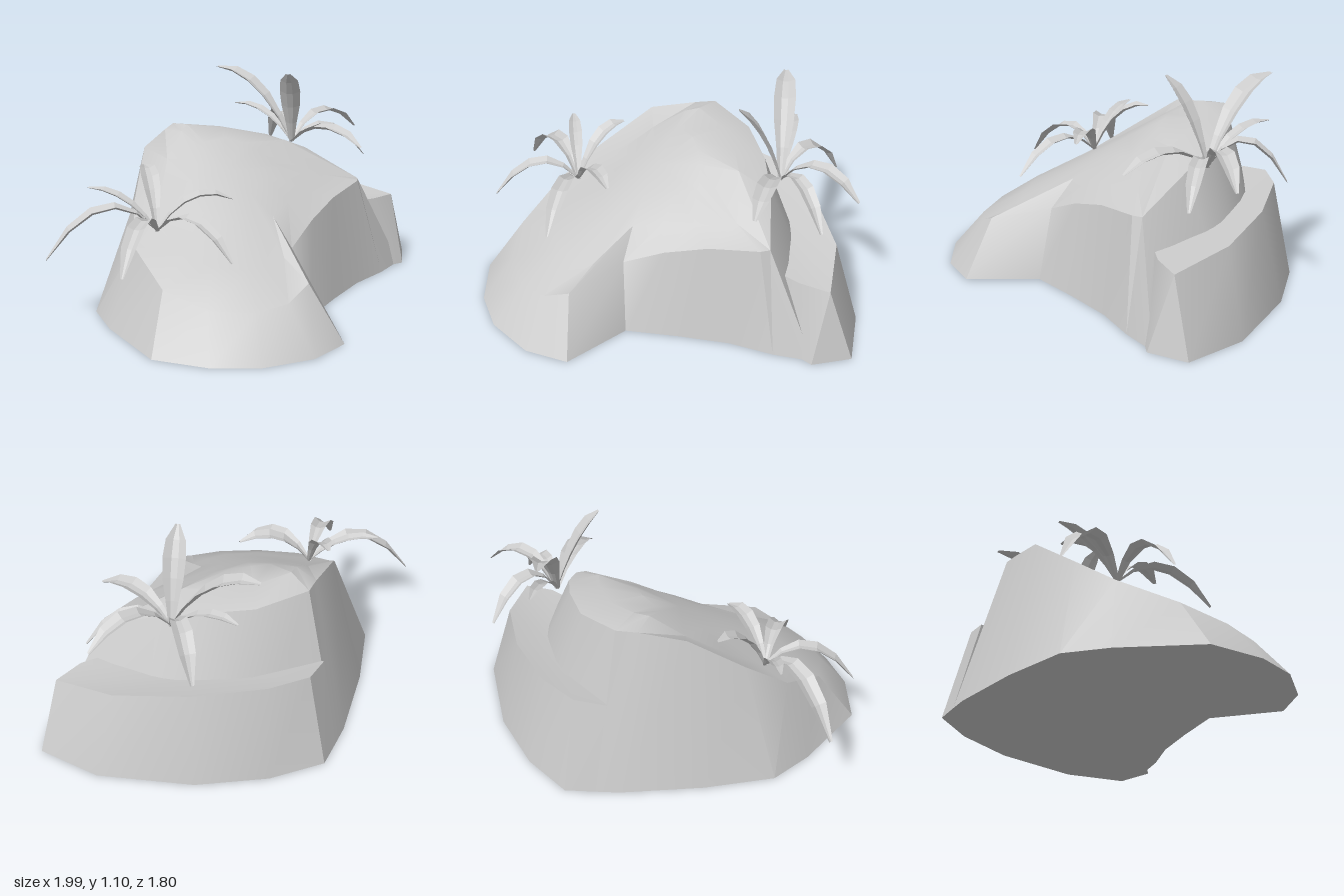
import * as THREE from 'three';
import { toCreasedNormals } from 'three/addons/utils/BufferGeometryUtils.js';

const grey = new THREE.MeshStandardMaterial({ color: 0xcccccc });
const leafGrey = new THREE.MeshStandardMaterial({ color: 0xcccccc, side: THREE.DoubleSide, flatShading: true });

// Builds a closed shell from equal-length rings, bottom to top, fanned shut at both ends
function shell(rings, bottom, top, name) {
  const n = rings[0].length, pos = [];
  const tri = (...p) => p.forEach((v) => pos.push(...v));
  for (let i = 0; i < n; i++) {
    const j = (i + 1) % n;
    tri(bottom, rings[0][j], rings[0][i]);
    for (let r = 0; r + 1 < rings.length; r++) {
      const a = rings[r], b = rings[r + 1];
      tri(a[i], a[j], b[j]);
      tri(a[i], b[j], b[i]);
    }
    const last = rings[rings.length - 1];
    tri(last[i], last[j], top);
  }
  const geo = new THREE.BufferGeometry();
  geo.setAttribute('position', new THREE.Float32BufferAttribute(pos, 3));
  const mesh = new THREE.Mesh(toCreasedNormals(geo, 0.5), grey);
  mesh.name = name;
  return mesh;
}

// Wall columns: foot x, foot z, rim x, rim y, rim z
const BODY = [
  [-0.03, 0.90, -0.03, 0.20, 0.73], [0.23, 0.83, 0.13, 0.22, 0.68],
  [0.40, 0.68, 0.24, 0.28, 0.59], [0.31, 0.32, 0.21, 0.35, 0.28],
  [0.47, 0.10, 0.34, 0.44, 0.12], [0.63, -0.10, 0.48, 0.50, -0.05],
  [0.80, -0.25, 0.65, 0.53, -0.24], [0.93, -0.40, 0.66, 0.53, -0.29],
  [0.52, -0.70, 0.40, 0.67, -0.44], [0.27, -0.77, 0.20, 0.73, -0.52],
  [0.00, -0.79, -0.05, 0.77, -0.57], [-0.44, -0.70, -0.31, 0.81, -0.51],
  [-0.50, -0.60, -0.36, 0.80, -0.42], [-0.66, -0.22, -0.48, 0.76, -0.22],
  [-0.76, 0.12, -0.55, 0.56, 0.06], [-0.70, 0.35, -0.57, 0.40, 0.29],
  [-0.52, 0.74, -0.45, 0.27, 0.56], [-0.26, 0.87, -0.25, 0.21, 0.70],
];
const LEDGE = [
  [0.60, -0.25, 0.55, 0.38, -0.30], [0.95, -0.38, 0.78, 0.38, -0.39],
  [1.00, -0.58, 0.90, 0.37, -0.49], [0.74, -0.78, 0.64, 0.42, -0.69],
  [0.28, -0.90, 0.28, 0.46, -0.79], [-0.08, -0.90, -0.08, 0.48, -0.80],
  [-0.36, -0.83, -0.29, 0.47, -0.73], [-0.44, -0.70, -0.38, 0.45, -0.60],
  [-0.15, -0.50, -0.15, 0.41, -0.50],
];
const foot = (c) => [c[0], 0, c[1]];
const rim = (c) => [c[2], c[3], c[4]];

// Height of the sloping crown
const crown = (x, z) => Math.min(0.79 - 0.17 * x, 0.64 - 0.6 * z - 0.6 * (x + 0.12) ** 2);

function rockBody() {
  const cx = -0.08, cz = -0.05;
  const inner = (k) => BODY.map((c) => {
    const x = cx + (c[2] - cx) * k, z = cz + (c[4] - cz) * k;
    return [x, crown(x, z), z];
  });
  const rings = [BODY.map(foot), BODY.map(rim), inner(0.72), inner(0.38)];
  return shell(rings, [cx, 0, cz], [cx, crown(cx, cz), cz], 'rockBody');
}

// Arching leaf: a folded strip swept along a curve, tapering to its tip
function leaf(root, tip, peak, width) {
  const a = new THREE.Vector3(...root), b = new THREE.Vector3(...tip);
  const mid = a.clone().lerp(b, 0.45).setY(peak);
  const curve = new THREE.QuadraticBezierCurve3(a, mid, b);
  const side = new THREE.Vector3(b.z - a.z, 0, a.x - b.x).normalize();
  const widths = [0.25, 0.55, 0.9, 1, 0.85, 0.2], across = [-1, -0.3, 0.3, 1];
  const pos = [], idx = [];
  widths.forEach((w, i) => {
    const t = i / (widths.length - 1), p = curve.getPoint(t);
    const up = new THREE.Vector3().crossVectors(curve.getTangent(t), side).normalize();
    if (up.y < 0) up.negate();
    across.forEach((s, j) => {
      const v = p.clone().addScaledVector(side, s * w * width);
      v.addScaledVector(up, Math.abs(s) === 1 ? 0.4 * w * width : 0);
      pos.push(v.x, v.y, v.z);
      if (i && j) {
        const k = i * 4 + j;
        idx.push(k - 5, k - 4, k, k - 5, k, k - 1);
      }
    });
  });
  const geo = new THREE.BufferGeometry();
  geo.setAttribute('position', new THREE.Float32BufferAttribute(pos, 3));
  geo.setIndex(idx);
  const mesh = new THREE.Mesh(geo, leafGrey);
  mesh.name = 'leaf';
  return mesh;
}

// Leaves: tip x, y, z, then height of the curve's control point and half width
function plant(name, root, leaves) {
  const g = new THREE.Group();
  g.name = name;
  for (const [x, y, z, peak, w] of leaves) g.add(leaf(root, [x, y, z], peak, w));
  return g;
}

export function createModel() {
  const model = new THREE.Group();
  model.name = 'rockWithPlants';
  model.add(rockBody());
  model.add(shell([LEDGE.map(foot), LEDGE.map(rim)], [0.25, 0, -0.6], [0.25, 0.41, -0.6], 'rockLedge'));
  model.add(plant('backPlant', [0.34, 0.68, -0.53], [
    [-0.04, 1.06, -0.77, 1.06, 0.055], [0.28, 1.10, -0.31, 0.98, 0.055],
    [0.28, 0.62, -0.90, 0.98, 0.045], [0.06, 0.85, -0.78, 0.88, 0.035],
    [0.73, 0.71, -0.73, 0.96, 0.045], [0.74, 0.60, -0.52, 0.90, 0.04],
    [0.65, 0.72, -0.20, 0.88, 0.05],
  ]));
  model.add(plant('frontPlant', [-0.45, 0.45, 0.23], [
    [-0.99, 0.34, 0.27, 0.76, 0.05], [-0.78, 0.65, 0.11, 0.65, 0.035],
    [-0.49, 0.71, -0.06, 0.74, 0.045], [-0.08, 0.60, 0.23, 0.70, 0.045],
    [-0.12, 0.38, 0.55, 0.68, 0.045], [-0.64, 0.36, 0.63, 0.70, 0.045],
  ]));
  return model;
}
